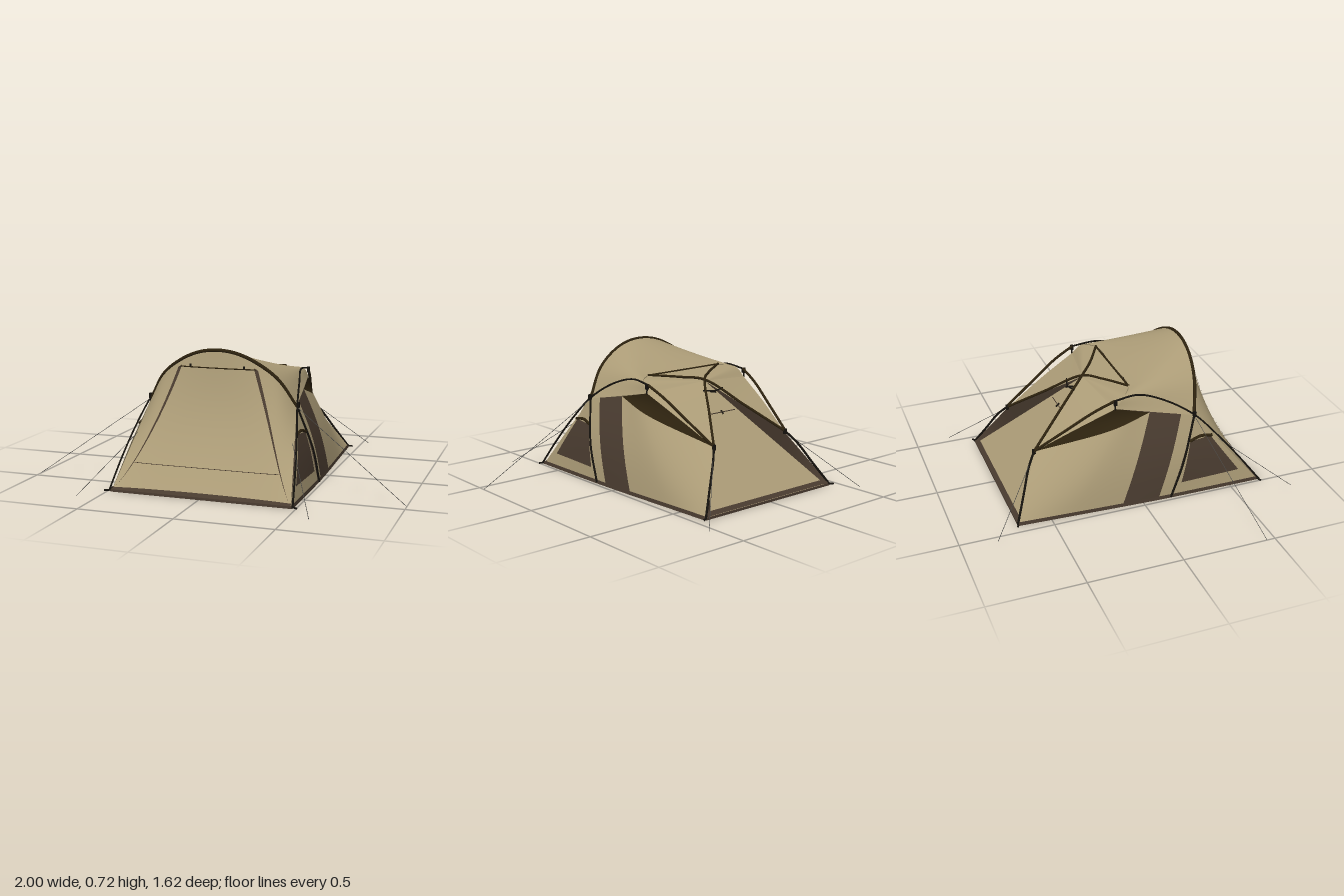
import * as THREE from 'three';

const V = (x, y, z) => new THREE.Vector3(x, y, z);
const mat = (name, color, side = THREE.FrontSide) => {
  const m = new THREE.MeshStandardMaterial({ color, side });
  m.name = name;
  return m;
};

export function createModel() {
  const tent = new THREE.Group();
  tent.name = 'tent';
  const canvas = mat('tan canvas', 0xac9c77, THREE.DoubleSide);
  const mesh = mat('brown mesh', 0x4a3c30, THREE.DoubleSide);
  const lining = mat('dark lining', 0x2e230f, THREE.DoubleSide);
  const black = mat('black pole', 0x15120d);
  const cord = mat('grey cord', 0x4a4a48);

  const add = (name, geo, material, parent = tent) => {
    const m = new THREE.Mesh(geo, material);
    m.name = name;
    parent.add(m);
    return m;
  };
  // Smooth curve through [x, y, z] points; s mirrors it across x
  const curve = (pts, s = 1) => {
    const p = pts.map(([x, y, z]) => V(x * s, y, z));
    return p.length === 2 ? new THREE.LineCurve3(...p) : new THREE.CatmullRomCurve3(p);
  };
  // Ruled surface between two curves, with an optional bulge rule
  const ruled = (a, b, bulge) => (u, v) => {
    const p = a.getPoint(u).lerp(b.getPoint(u), v);
    return bulge ? p.add(bulge(u, v)) : p;
  };
  // Grid geometry over part of a surface function
  const cloth = (f, u0 = 0, u1 = 1, v0 = 0, v1 = 1, nu = 20, nv = 10) => {
    const pos = [], idx = [];
    for (let j = 0; j <= nv; j++)
      for (let i = 0; i <= nu; i++)
        pos.push(...f(u0 + (u1 - u0) * i / nu, v0 + (v1 - v0) * j / nv).toArray());
    for (let j = 0; j < nv; j++)
      for (let i = 0; i < nu; i++) {
        const a = j * (nu + 1) + i, b = a + 1, c = a + nu + 1, d = c + 1;
        idx.push(a, b, d, a, d, c);
      }
    const g = new THREE.BufferGeometry();
    g.setAttribute('position', new THREE.Float32BufferAttribute(pos, 3));
    g.setIndex(idx);
    g.computeVertexNormals();
    return g;
  };
  const tube = (name, c, r, material, parent, n = 32) =>
    add(name, new THREE.TubeGeometry(c, n, r, 6), material, parent);
  const shift = (f, x, y, z) => (u, v) => f(u, v).add(V(x, y, z));

  // Key points on the +x side
  const node = [0.4, 0.43, 0.31], tip = [0.345, 0.52, -0.11];
  const rear = [0.25, 0.3, -0.52], apex = [0, 0.55, -0.17];
  const ridge = [0.25, 0.585, 0], shoulder = [0.33, 0.57, -0.06];
  const corner = [0.44, 0.012, -0.675], panelCorner = [0.41, 0.012, -0.675];
  const flip = ([x, y, z]) => [-x, y, z];
  const symmetric = (half, mid) => [...half.map(flip), mid, ...[...half].reverse()];

  // Floor
  const shape = new THREE.Shape([[-0.482, -0.67], [0.482, -0.67], [0.442, 0.68], [-0.442, 0.68]]
    .map(([x, y]) => new THREE.Vector2(x, y)));
  const floor = new THREE.ExtrudeGeometry(shape, { depth: 0.012, bevelEnabled: false });
  add('floor', floor.rotateX(-Math.PI / 2), mesh);

  // Front arch, main roof and front panel
  const arch = curve(symmetric([node, [0.31, 0.573, 0.348], [0.205, 0.654, 0.371], [0.1, 0.699, 0.381]],
    [0, 0.712, 0.384]));
  const roofBack = curve(symmetric([tip, shoulder, ridge], [0, 0.588, 0]));
  add('mainRoof', cloth(ruled(arch, roofBack), 0, 1, 0, 1, 48, 12), canvas);
  tube('archTrim', arch, 0.009, lining, tent, 60);

  const front = ruled(curve([[-0.475, 0.012, 0.66], [0.475, 0.012, 0.66]]), arch,
    (u, v) => V(0, 0, -0.055 * Math.sin(Math.PI * u) * Math.sin(Math.PI * v)));
  add('frontPanel', cloth(front, 0, 1, 0, 1, 40, 20), canvas);
  const onFront = shift(front, 0, 0, 0.004);
  add('frontSkirt', cloth(onFront, 0, 1, 0, 0.025, 20, 1), mesh);
  // Level seam across the front at height y, reaching w either side of the middle
  const levelSeam = (name, y, w, r, m) => {
    const pts = [];
    for (let i = -5; i <= 5; i++) {
      const u = 0.5 + w * i / 5;
      pts.push(onFront(u, y / arch.getPoint(u).y));
    }
    tube(name, new THREE.CatmullRomCurve3(pts), r, m);
  };
  levelSeam('doorTopSeam', 0.62, 0.25, 0.003, lining);
  levelSeam('doorBottomSeam', 0.13, 0.42, 0.0015, mesh);
  for (const s of [-1, 1]) {
    const seam = (u, v) => {
      const k = 0.03 + 0.92 * v;
      return onFront(0.5 + s * (0.235 + 0.26 * (1 - k)) + (u - 0.5) * 0.026 * v, k);
    };
    add('doorSeam', cloth(seam, 0, 1, 0, 1, 1, 20), mesh);
    add('doorToggle', new THREE.BoxGeometry(0.008, 0.018, 0.008), black)
      .position.copy(onFront(0.5 + s * 0.175, 0.915));
  }

  // Rear roof triangle and flat back panel
  add('roofTriangle', cloth(ruled(curve([flip(ridge), ridge]), curve([apex, apex])), 0, 1, 0, 1, 8, 4), canvas);
  tube('roofSeam', curve([flip(ridge), ridge]), 0.006, lining);
  const back = ruled(curve([apex, flip(panelCorner)]), curve([apex, panelCorner]));
  add('backPanel', cloth(back), canvas);
  add('backSkirt', cloth(shift(back, 0, 0.003, -0.003), 0.965, 1, -0.035, 1.035, 1, 4), mesh);

  // Back vent
  tube('ventHood', curve([[-0.07, 0.515, -0.235], [0, 0.51, -0.252], [0.07, 0.515, -0.235]]), 0.004, black);
  tube('ventSeam', curve([[-0.09, 0.405, -0.31], [0.09, 0.405, -0.31]]), 0.0025, mesh);
  tube('ventStrut', curve([[0, 0.5, -0.22], [0, 0.505, -0.265]]), 0.005, black);
  tube('ventTab', curve([[0, 0.412, -0.3], [0, 0.395, -0.32]]), 0.005, black);

  for (const s of [1, -1]) {
    const side = new THREE.Group();
    side.name = s > 0 ? 'leftSide' : 'rightSide';
    tent.add(side);
    const C = (...pts) => curve(pts, s);
    const part = (name, f, m, ...range) => add(name, cloth(f, ...range), m, side);

    // Rear roof wing and the dark flap under its eave
    const eaveStart = [0.37, 0.478, 0.07], wallTop = [0.37, 0.415, -0.13];
    const eave = C(tip, [0.303, 0.418, -0.31], rear), wallEdge = C(eaveStart, wallTop, rear);
    part('roofShoulder', ruled(C(apex, apex), C(ridge, shoulder, tip)), canvas);
    part('roofWing', ruled(C(apex, rear), eave), canvas);
    part('eaveFlap', ruled(eave, wallEdge), lining);

    // Side wall in three widths: front strip, mesh door, rear wall
    const bulge = (u, v) => V(s * 0.018 * Math.sin(Math.PI * v), 0, 0);
    const wall = (name, bottom, top, m, rule) => part(name, ruled(C(...bottom), top, rule), m);
    const doorTop = [0.391, 0.446, 0.24];
    wall('wallStrip', [[0.475, 0.012, 0.155], [0.473, 0.012, 0.09]], C(node, doorTop), canvas, bulge);
    wall('meshDoor', [[0.473, 0.012, 0.09], [0.465, 0.012, -0.11]], C(doorTop, eaveStart), mesh, bulge);
    wall('rearWall', [[0.465, 0.012, -0.11], [0.452, 0.012, -0.4], corner], wallEdge, canvas,
      (u, v) => bulge(u, v).multiplyScalar(1 - u));
    part('sideSkirt', ruled(
      C([0.485, 0, 0.67], [0.482, 0, 0.155], [0.473, 0, -0.11], [0.459, 0, -0.4], [0.446, 0, -0.68]),
      C([0.483, 0.02, 0.66], [0.48, 0.02, 0.155], [0.471, 0.02, -0.11], [0.457, 0.02, -0.4], [0.443, 0.02, -0.672])), mesh);

    // Front side triangle with its window
    const quarter = ruled(C([0.475, 0.012, 0.66], [0.445, 0.22, 0.485], node),
      C([0.475, 0.012, 0.155], [0.455, 0.2, 0.23], node));
    part('sidePanel', quarter, canvas);
    const onQuarter = shift(quarter, s * 0.004, 0, 0);
    part('sideWindow', onQuarter, mesh, 0.17, 0.71, 0.11, 0.91, 10, 6);
    const hood = [0, 0.25, 0.5, 0.75, 1].map(k => onQuarter(0.71 + 0.03 * Math.sin(Math.PI * k), 0.04 + 0.9 * k));
    tube('windowHood', new THREE.CatmullRomCurve3(hood), 0.008, lining, side);

    // Brown gusset between the back panel and the cross pole
    part('backGussetUpper', ruled(C(apex, rear), C(apex, [0.25, 0.222, -0.478])), mesh, 0, 1, 0, 1, 6, 2);
    part('backGussetLower', ruled(C(rear, corner), C([0.25, 0.222, -0.478], panelCorner)), mesh, 0, 1, 0, 1, 6, 2);

    // Poles
    tube('hoopLeg', C([0.483, 0.005, 0.155], [0.466, 0.2, 0.23], [0.403, 0.43, 0.31]), 0.006, black, side);
    tube('sidePole', C([0.487, 0.005, 0.675], [0.465, 0.16, 0.555], [0.436, 0.31, 0.43], [0.403, 0.435, 0.31],
      [0.368, 0.535, 0.15], [0.338, 0.575, 0.02], [0.34, 0.565, -0.11]), 0.005, black, side, 60);
    tube('eavePole', C([0.34, 0.565, -0.11], [0.322, 0.51, -0.22], [0.29, 0.41, -0.37], [0.255, 0.305, -0.525]),
      0.007, lining, side);
    tube('crossPole', C([-0.25, 0.588, 0], [-0.1, 0.572, -0.09], [0, 0.557, -0.17], [0.125, 0.432, -0.345],
      [0.253, 0.302, -0.525]), 0.007, lining, side, 40);
    tube('rearLeg', C([0.253, 0.302, -0.525], [0.3, 0.24, -0.57], [0.37, 0.125, -0.623], [0.445, 0.005, -0.68]),
      0.006, black, side);
    tube('eaveStrut', C([0.342, 0.57, -0.11], [0.347, 0.515, -0.11]), 0.004, black, side);

    // Buckles and corner pegs
    for (const [x, y, z] of [[0.407, 0.44, 0.31], [0.345, 0.555, -0.11], [0.253, 0.3, -0.525]])
      add('buckle', new THREE.BoxGeometry(0.014, 0.028, 0.016), black, side).position.set(x * s, y, z);
    for (const [x, z, d] of [[0.485, 0.665, 1], [0.44, -0.675, -1]])
      tube('cornerPeg', C([x, 0.008, z], [x + 0.028, 0.006, z + 0.012 * d]), 0.005, black, side, 1);

    // Guy ropes
    for (const [a, b] of [[node, [1, 0.002, 0.455]], [[0.42, 0.27, 0.45], [0.605, 0.002, 0.81]],
      [rear, [0.54, 0.002, -0.81]]])
      tube('guyRope', C(a, b), 0.0014, cord, side, 1);
  }
  return tent;
}
